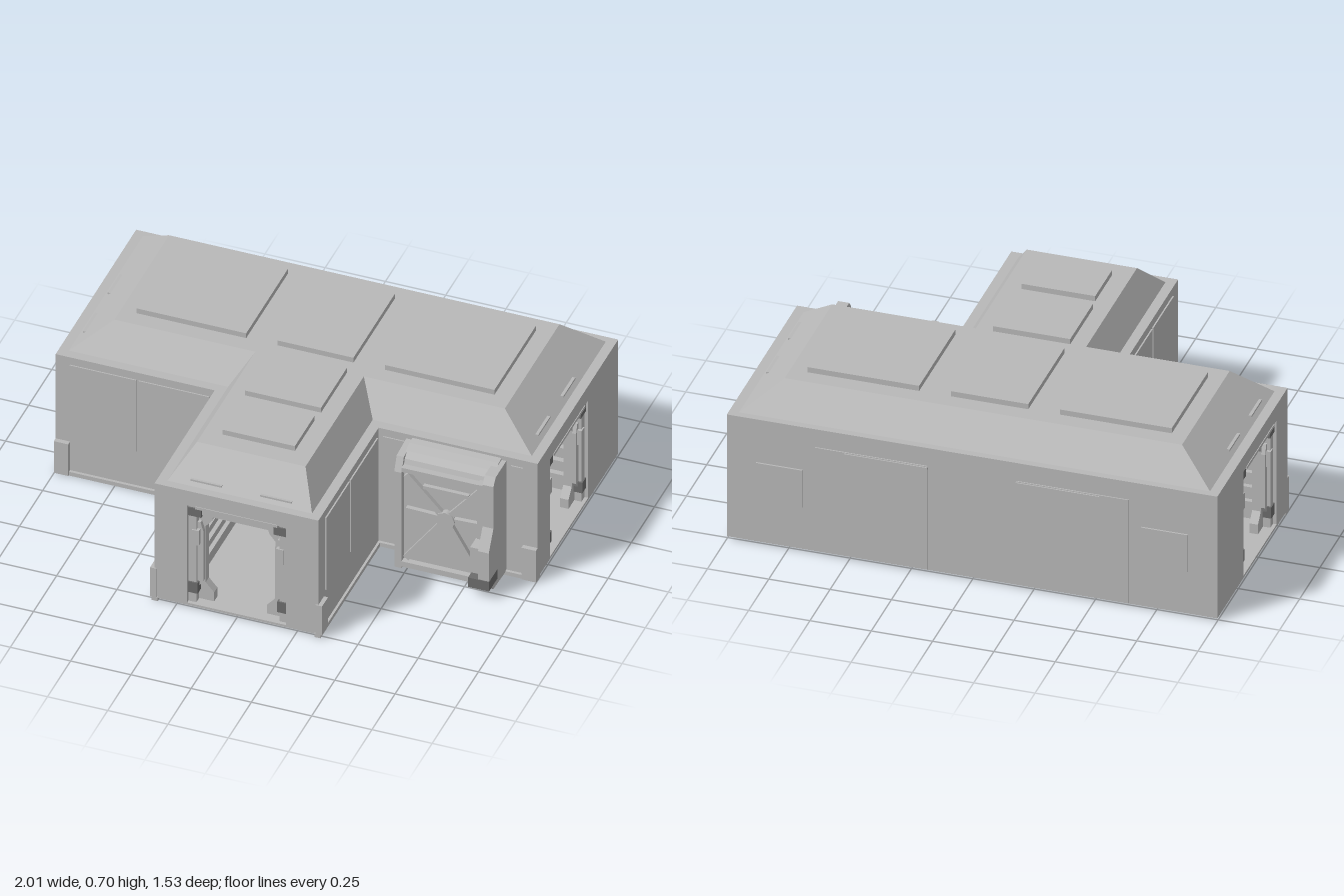
import * as THREE from 'three';

const mat = (name, color) => {
  const m = new THREE.MeshStandardMaterial({ color });
  m.name = name;
  return m;
};

export function createModel() {
  const grey = mat('hull grey', 0xb8b8b8);
  const dark = mat('dark grey', 0x6c6c6c);
  const model = new THREE.Group();
  model.name = 'habitatModule';

  const add = (parent, name, geometry, material = grey) => {
    const mesh = new THREE.Mesh(geometry, material);
    mesh.name = name;
    parent.add(mesh);
    return mesh;
  };
  // Box given by its limits on each axis
  const box = (parent, name, [x0, x1], [y0, y1], [z0, z1], material) => {
    const g = new THREE.BoxGeometry(Math.abs(x1 - x0), y1 - y0, Math.abs(z1 - z0));
    g.translate((x0 + x1) / 2, (y0 + y1) / 2, (z0 + z1) / 2);
    return add(parent, name, g, material);
  };
  const shapeOf = pts => new THREE.Shape(pts.map(p => new THREE.Vector2(...p)));
  const extrude = (shape, depth) =>
    new THREE.ExtrudeGeometry(shape, { depth, bevelEnabled: false });
  const rect = (x0, x1, y0, y1) => [[x0, y0], [x1, y0], [x1, y1], [x0, y1]];
  // Prism along x from a (z, y) profile
  const prismX = (parent, name, pts, x0, x1, material) => {
    const g = extrude(shapeOf(pts.map(([z, y]) => [-z, y])), x1 - x0);
    g.rotateY(Math.PI / 2).translate(x0, 0, 0);
    return add(parent, name, g, material);
  };

  // T-shaped plan: half length, back, front, wing half width, wing end
  const plan = (X, zb, zf, w, ze) => [
    [-w, -ze], [w, -ze], [w, -zf], [X, -zf], [X, -zb], [-X, -zb], [-X, -zf], [-w, -zf]];
  const slab = (name, y0, y1) => add(model, name,
    extrude(shapeOf(plan(1, -0.76, 0.11, 0.34, 0.76)), y1 - y0)
      .rotateX(-Math.PI / 2).translate(0, y0, 0));
  slab('floor', 0.012, 0.022);
  slab('ceiling', 0.505, 0.56);

  // Sloped roof
  const low = plan(0.96, -0.73, 0.07, 0.3, 0.725);
  const high = plan(0.81, -0.62, -0.03, 0.225, 0.6);
  const verts = [];
  low.forEach((a, i) => {
    const j = (i + 1) % low.length;
    const p = (q, y) => [q[0], y, -q[1]];
    const a0 = p(a, 0.56), b0 = p(low[j], 0.56), a1 = p(high[i], 0.68), b1 = p(high[j], 0.68);
    verts.push(...a0, ...b0, ...b1, ...a0, ...b1, ...a1);
  });
  const slopes = new THREE.BufferGeometry();
  slopes.setAttribute('position', new THREE.Float32BufferAttribute(verts, 3));
  slopes.computeVertexNormals();
  add(model, 'roofSlopes', slopes);
  add(model, 'roofTop', new THREE.ShapeGeometry(shapeOf(high))
    .rotateX(-Math.PI / 2).translate(0, 0.68, 0));

  // Raised roof panels
  for (const [x0, x1, z0, z1] of [
    [-0.745, -0.29, -0.55, -0.1], [-0.16, 0.155, -0.55, -0.1], [0.285, 0.74, -0.55, -0.1],
    [-0.16, 0.155, -0.03, 0.25], [-0.15, 0.15, 0.31, 0.52]]) {
    box(model, 'roofPanel', [x0, x1], [0.675, 0.703], [z0, z1]);
  }

  // Long walls, plinths and wall panels, mirrored left and right
  box(model, 'backWall', [-1, 1], [0.015, 0.56], [-0.76, -0.71]);
  for (const s of [-1, 1]) {
    box(model, 'frontWall', [s * 0.3, s], [0.015, 0.56], [0.06, 0.11]);
    box(model, 'wingWall', [s * 0.29, s * 0.34], [0.015, 0.56], [0.06, 0.76]);
    box(model, 'plinth', [s * 0.325, s], [0, 0.018], [0.085, 0.122]);
    box(model, 'wingPlinth', [s * 0.325, s * 0.35], [0, 0.018], [0.12, 0.765]);
    box(model, 'wingPanel', [s * 0.338, s * 0.346], [0.18, 0.525], [0.13, 0.425]);
    box(model, 'wingPanel', [s * 0.338, s * 0.346], [0.18, 0.525], [0.435, 0.69]);
    for (const [a, b] of s < 0 ? [[0.36, 0.655], [0.665, 0.94]] : [[0.36, 0.45], [0.89, 0.94]]) {
      box(model, 'frontPanel', [s * a, s * b], [0.18, 0.525], [0.108, 0.115]);
    }
    box(model, 'backDoorPanel', [s * 0.18, s * 0.64], [0.015, 0.48], [-0.765, -0.758]);
    box(model, 'backDoorLip', [s * 0.18, s * 0.52], [0.468, 0.476], [-0.77, -0.76]);
    box(model, 'backTrim', [s * 0.69, s * 0.88], [0.36, 0.368], [-0.767, -0.758]);
    box(model, 'backTrim', [s * (s > 0 ? 0.69 : 0.87), s * (s > 0 ? 0.7 : 0.88)],
      [0.2, 0.368], [-0.767, -0.758]);

    // Small lips on the roof slopes
    box(model, 'roofLip', [s * 0.08, s * 0.21], [0.574, 0.582], [0.7, 0.712]);
    for (const z of [-0.105, -0.375]) {
      box(model, 'roofLip', [s * 0.932, s * 0.945], [0.574, 0.582], [z - 0.065, z + 0.065]);
    }

    // Ribbed lining of the corridors
    const wingIn = s * 0.225, mainIn = s * 0.94;
    box(model, 'wingLining', [wingIn, s * 0.215], [0.02, 0.51], [-0.01, 0.71]);
    box(model, 'corridorLining', [wingIn, mainIn], [0.02, 0.51], [-0.015, -0.005]);
    for (let i = 0; i < 6; i++) {
      const y = 0.08 + i * 0.065;
      box(model, 'wingRib', [s * 0.222, s * 0.195], [y, y + 0.03], [0.01, 0.68]);
      box(model, 'corridorRib', [wingIn, mainIn], [y, y + 0.03], [-0.035, -0.01]);
      box(model, 'backRib', [s * 0.2, mainIn], [y, y + 0.03], [-0.45, -0.425]);
    }
    box(model, 'innerPost', [s * 0.165, s * 0.195], [0.02, 0.505], [-0.45, -0.42]);
    // Wall grille beside the inner cabinet
    for (let i = 0; i < 4; i++) {
      const y = 0.178 + i * 0.014;
      box(model, 'grille', [s * 0.07, s * 0.15], [y, y + 0.008], [-0.45, -0.432]);
    }
  }
  box(model, 'backLining', [-0.94, 0.94], [0.02, 0.51], [-0.46, -0.448]);
  box(model, 'innerCabinet', [-0.06, 0.06], [0.02, 0.4], [-0.45, -0.425]);
  box(model, 'innerHatch', [-0.05, 0.05], [0.035, 0.13], [-0.43, -0.418]);
  box(model, 'innerLocker', [-0.06, 0.06], [0.25, 0.39], [-0.43, -0.418]);

  // Doorway wall facing +z, its outer face at z = 0, from x0 to x1
  const doorway = (name, x0, x1) => {
    const g = new THREE.Group();
    g.name = name;
    model.add(g);
    const wall = shapeOf([[x0, 0.015], [-0.205, 0.015], [-0.205, 0.49], [0.205, 0.49],
      [0.205, 0.015], [x1, 0.015], [x1, 0.56], [x0, 0.56]]);
    add(g, 'endWall', extrude(wall, 0.06).translate(0, 0, -0.06));
    // Recessed frame with a chamfered opening
    const half = [[0.11, 0.018], [0.11, 0.065], [0.145, 0.105], [0.145, 0.375],
      [0.12, 0.405], [0.11, 0.437]];
    const mirrored = half.map(([x, y]) => [-x, y]).reverse();
    const frame = shapeOf([[0.205, 0.018], [0.205, 0.49], [-0.205, 0.49], [-0.205, 0.018],
      ...mirrored.slice().reverse(), ...half.slice().reverse()]);
    add(g, 'doorFrame', extrude(frame, 0.035).translate(0, 0, -0.08));
    for (const s of [-1, 1]) {
      box(g, 'post', [s * 0.172, s * 0.205], [0.018, 0.49], [-0.05, -0.015]);
      box(g, 'postBand', [s * 0.165, s * 0.204], [0.068, 0.118], [-0.05, -0.009], dark);
      box(g, 'postBand', [s * 0.15, s * 0.204], [0.437, 0.475], [-0.05, -0.009], dark);
      const jamb = [[0.148, 0.12], [0.175, 0.08], [0.175, 0.4], [0.16, 0.4], [0.148, 0.36]];
      add(g, 'jamb', extrude(shapeOf(jamb.map(([x, y]) => [s * x, y])), 0.02)
        .translate(0, 0, -0.048));
      box(g, 'postStep', [s * 0.16, s * 0.19], [0.3, 0.37], [-0.03, -0.01]);
    }
    box(g, 'header', [-0.15, 0.15], [0.445, 0.478], [-0.05, -0.018]);
    box(g, 'headerLip', [-0.17, 0.17], [0.482, 0.494], [-0.05, 0.003]);
    return g;
  };
  doorway('frontDoorway', -0.34, 0.34).position.z = 0.76;
  const leftDoor = doorway('leftDoorway', -0.34, 0.53);
  leftDoor.position.set(1, 0, -0.23);
  leftDoor.rotation.y = Math.PI / 2;
  const rightDoor = doorway('rightDoorway', -0.53, 0.34);
  rightDoor.position.set(-1, 0, -0.23);
  rightDoor.rotation.y = -Math.PI / 2;

  // Corner feet
  for (const s of [-1, 1]) {
    box(model, 'wingFoot', [s * 0.33, s * 0.357], [0.015, 0.155], [0.7, 0.765]);
    box(model, 'endFoot', [s * 0.94, s], [0.003, 0.155], [0.1, 0.13]);
  }

  // Equipment unit standing against the front wall
  const unit = new THREE.Group();
  unit.name = 'equipmentUnit';
  model.add(unit);
  prismX(unit, 'unitBody', [[0.1, 0.015], [0.215, 0.015], [0.215, 0.49], [0.205, 0.515],
    [0.18, 0.535], [0.14, 0.545], [0.1, 0.55]], 0.48, 0.85);
  prismX(unit, 'unitSide', [[0.1, 0.012], [0.24, 0.012], [0.24, 0.47], [0.215, 0.53],
    [0.1, 0.54]], 0.455, 0.485);
  prismX(unit, 'unitClamp', [[0.1, 0.012], [0.25, 0.02], [0.3, 0.08], [0.3, 0.225],
    [0.25, 0.31], [0.25, 0.51], [0.225, 0.54], [0.1, 0.54]], 0.825, 0.87);
  box(unit, 'clampBand', [0.785, 0.872], [0.045, 0.09], [0.21, 0.303], dark);
  box(unit, 'clampBlock', [0.785, 0.826], [0.1, 0.22], [0.21, 0.28]);
  box(unit, 'clampBlock', [0.8, 0.826], [0.24, 0.5], [0.21, 0.245]);
  box(unit, 'topRail', [0.485, 0.825], [0.475, 0.495], [0.21, 0.24]);
  box(unit, 'crossRail', [0.57, 0.76], [0.41, 0.425], [0.21, 0.232]);
  box(unit, 'bottomRail', [0.485, 0.825], [0.02, 0.045], [0.21, 0.24]);
  // Radiating braces around a hub
  for (const [x, y] of [[0.5, 0.46], [0.81, 0.46], [0.5, 0.06], [0.79, 0.07],
    [0.5, 0.29], [0.81, 0.29]]) {
    const dx = x - 0.665, dy = y - 0.285;
    const brace = add(unit, 'brace', new THREE.BoxGeometry(Math.hypot(dx, dy), 0.026, 0.024));
    brace.position.set(0.665 + dx / 2, 0.285 + dy / 2, 0.222);
    brace.rotation.z = Math.atan2(dy, dx);
  }
  add(unit, 'hub', new THREE.CylinderGeometry(0.04, 0.04, 0.03, 8)
    .rotateX(Math.PI / 2).translate(0.665, 0.285, 0.225));
  return model;
}
